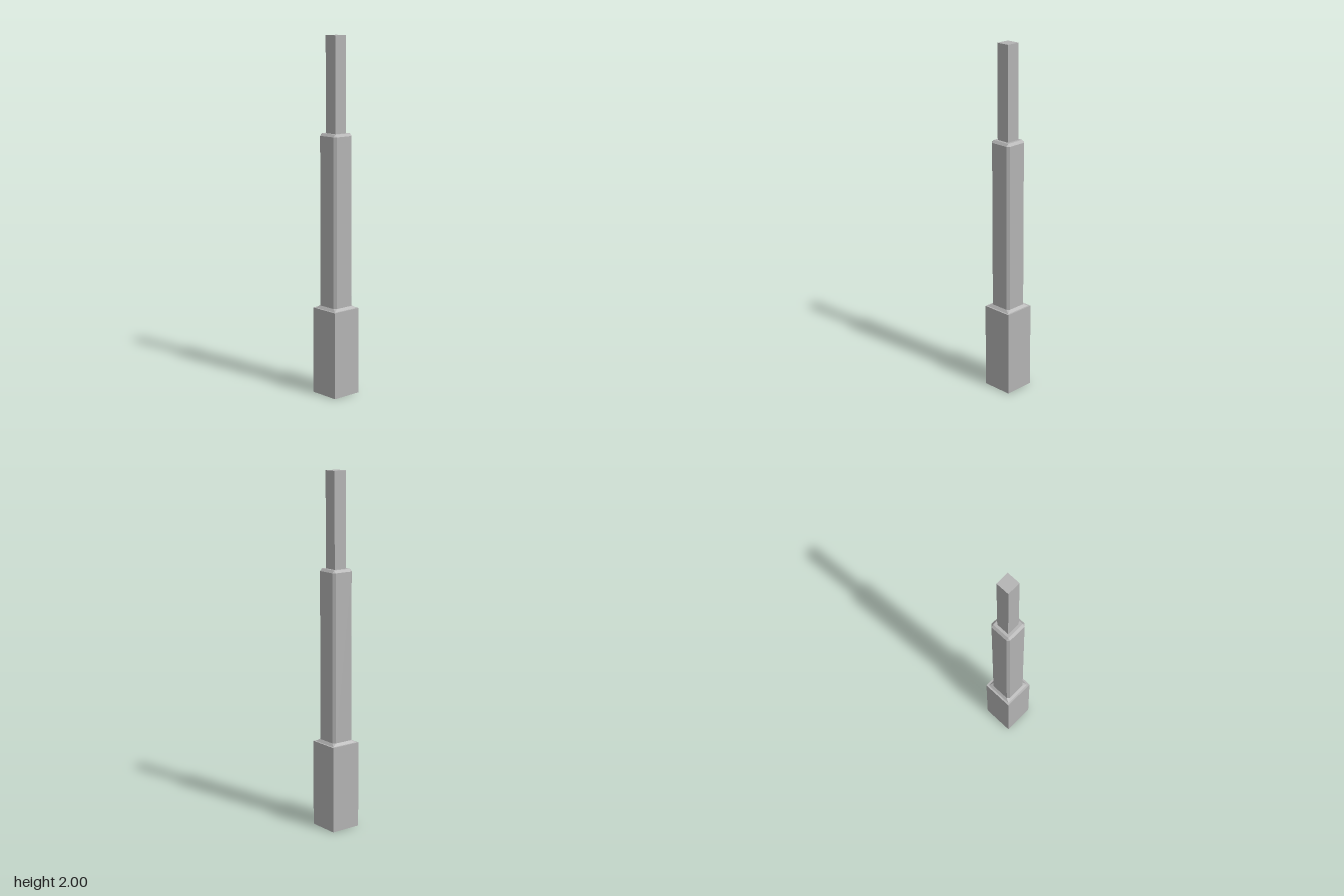
import * as THREE from 'three';

// Square cross-section of half-width h with corners cut at c (c === h gives a plain square)
const ring = (h, c, y) => [
  [h, y, c], [h, y, -c], [c, y, -h], [-c, y, -h],
  [-h, y, -c], [-h, y, c], [-c, y, h], [c, y, h],
];

// Join cross-sections from bottom to top with flat faces and a lid
function loft(rings) {
  const pos = [];
  const tri = (a, b, c) => {
    const [A, B, C] = [a, b, c].map((p) => new THREE.Vector3(...p));
    if (B.sub(A).cross(C.sub(A)).length() > 1e-9) pos.push(...a, ...b, ...c);
  };
  for (let r = 0; r < rings.length - 1; r++) {
    const lo = rings[r], hi = rings[r + 1];
    for (let i = 0; i < 8; i++) {
      const j = (i + 1) % 8;
      tri(lo[i], lo[j], hi[j]);
      tri(lo[i], hi[j], hi[i]);
    }
  }
  const top = rings[rings.length - 1];
  for (let i = 1; i < 7; i++) tri(top[0], top[i], top[i + 1]);
  const geo = new THREE.BufferGeometry();
  geo.setAttribute('position', new THREE.Float32BufferAttribute(pos, 3));
  geo.computeVertexNormals();
  return geo;
}

export function createModel() {
  const model = new THREE.Group();
  model.name = 'steppedPost';
  const grey = new THREE.MeshStandardMaterial({ color: 0xb3b3b3 });
  grey.name = 'plain grey';

  const add = (name, geo) => {
    const mesh = new THREE.Mesh(geo, grey);
    mesh.name = name;
    model.add(mesh);
  };
  const block = (name, half, y0, y1) => add(name,
    new THREE.BoxGeometry(2 * half, y1 - y0, 2 * half).translate(0, (y0 + y1) / 2, 0));

  // Square base
  block('base', 0.09, 0, 0.492);

  // Chamfered shaft: sloped collar, long cut-corner body, bevelled top
  add('shaft', loft([
    ring(0.08, 0.08, 0.492),
    ring(0.067, 0.054, 0.506),
    ring(0.067, 0.054, 1.457),
    ring(0.054, 0.054, 1.471),
  ]));

  // Slim upper post
  block('upperPost', 0.039, 1.471, 2);

  return model;
}
